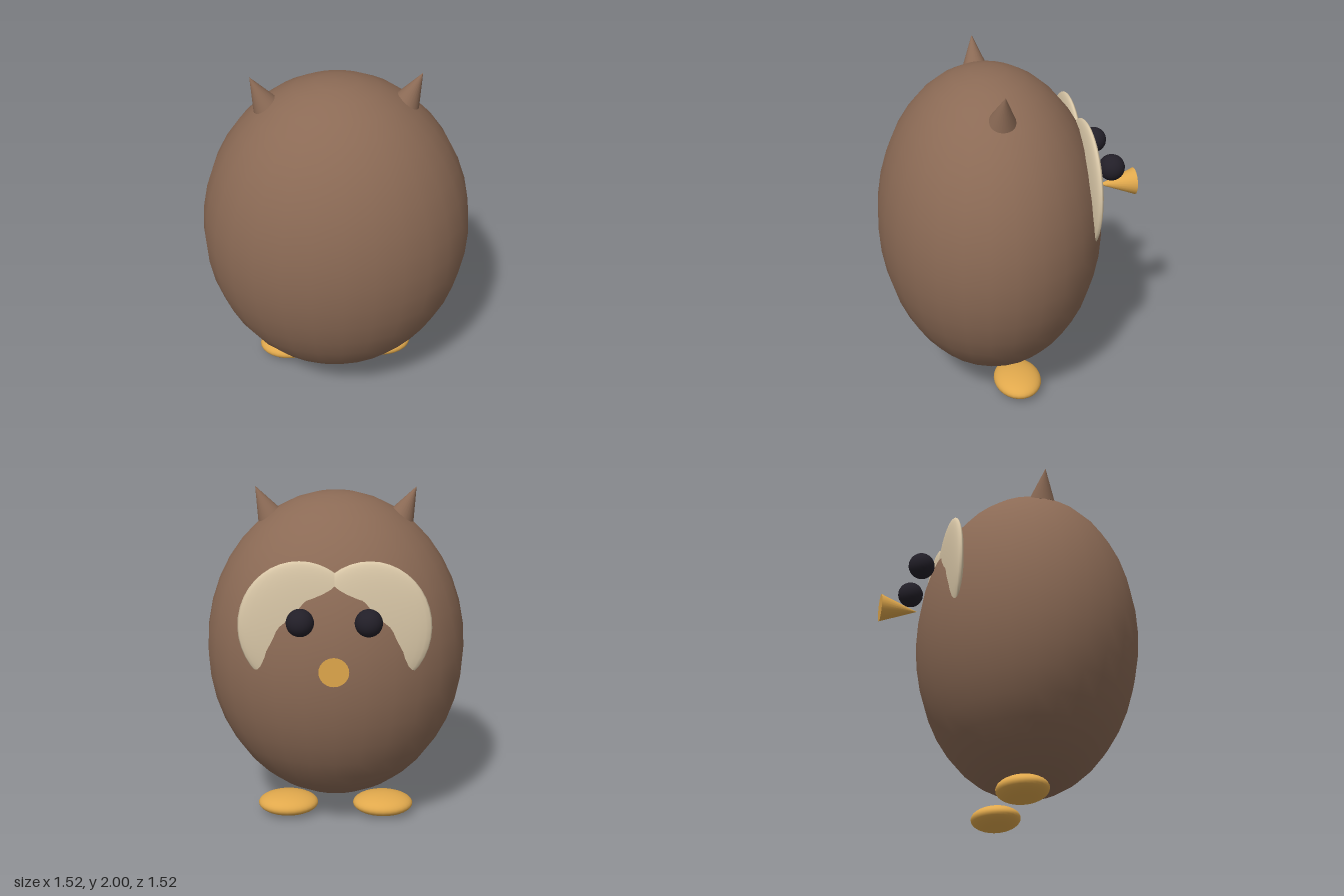
import * as THREE from 'three';

const brown = new THREE.MeshStandardMaterial({ color: 0x8b6a55 });
const cream = new THREE.MeshStandardMaterial({ color: 0xdac8a8 });
const black = new THREE.MeshStandardMaterial({ color: 0x221f28 });
const orange = new THREE.MeshStandardMaterial({ color: 0xe0a84c });

export function createModel() {
  const model = new THREE.Group();

  const add = (name, geometry, material, x, y, z) => {
    const mesh = new THREE.Mesh(geometry, material);
    mesh.name = name;
    mesh.position.set(x, y, z);
    model.add(mesh);
    return mesh;
  };
  const ellipsoid = (rx, ry, rz, w = 28, h = 20) =>
    new THREE.SphereGeometry(1, w, h).scale(rx, ry, rz);

  // Egg-shaped body
  add('body', ellipsoid(0.76, 0.925, 0.645), brown, 0, 1.05, 0.11);

  // Beak, with its tip against the body
  add('beak', new THREE.ConeGeometry(0.08, 0.215, 24).rotateX(Math.PI / 2), orange, 0, 1.19, -0.6575);

  for (const side of [1, -1]) {
    const prefix = side > 0 ? 'left' : 'right';

    // Face disc, mostly sunk into the body
    add(prefix + 'FaceDisc', ellipsoid(0.34, 0.37, 0.047), cream, side * 0.19, 1.32, -0.403);

    add(prefix + 'Eye', new THREE.SphereGeometry(0.075, 24, 16), black, side * 0.182, 1.395, -0.562);

    // Ear tuft leaning outward
    const ear = add(prefix + 'EarTuft', new THREE.ConeGeometry(0.075, 0.187, 24), brown, side * 0.418, 1.917, 0.11);
    ear.rotation.z = -side * 0.45;

    add(prefix + 'Foot', ellipsoid(0.183, 0.065, 0.142), orange, side * 0.29, 0.067, 0.003);
  }
  return model;
}
